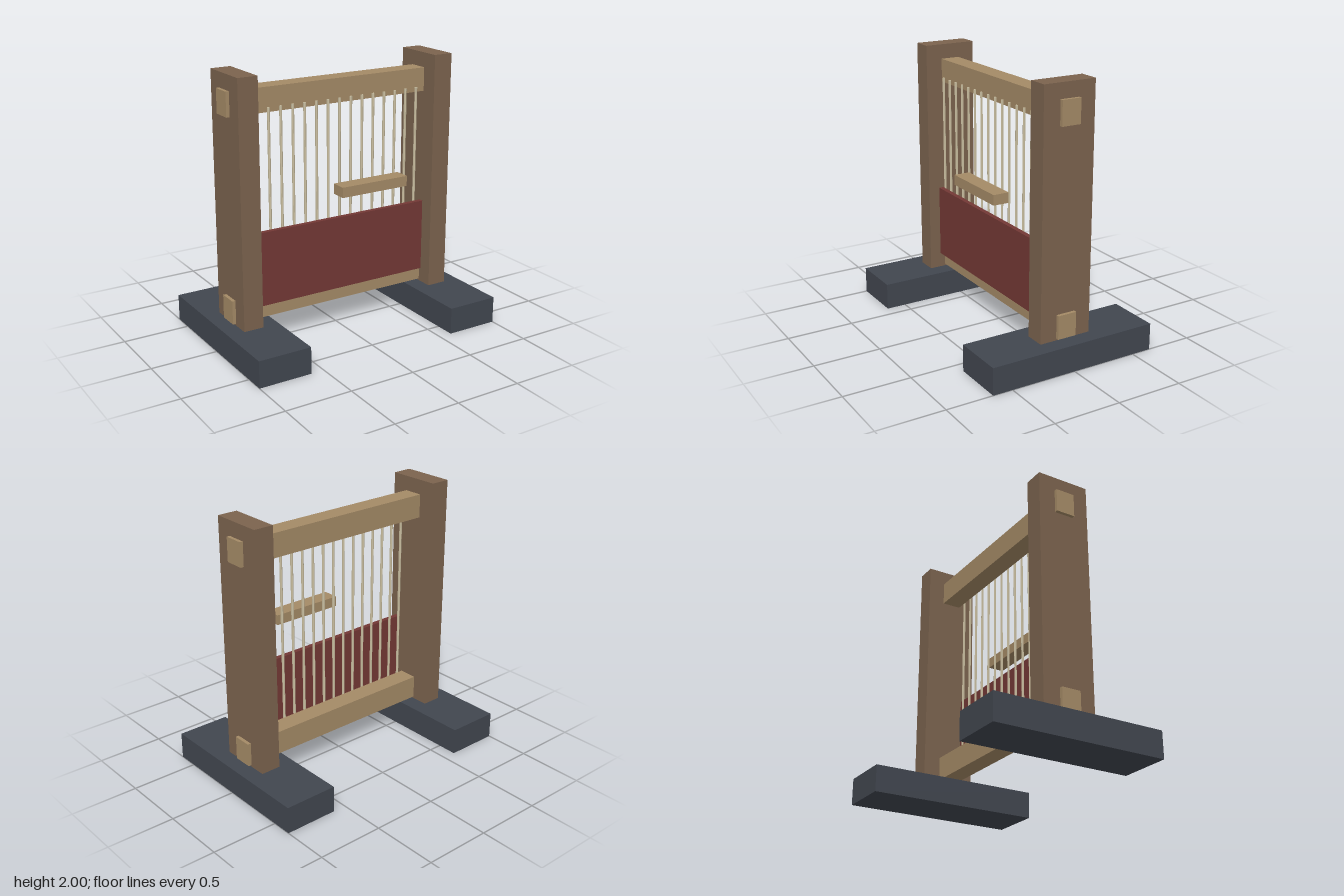
import * as THREE from 'three';

export function createModel() {
  const model = new THREE.Group();
  model.name = 'weavingLoom';

  const material = (name, color) => {
    const m = new THREE.MeshStandardMaterial({ color });
    m.name = name;
    return m;
  };
  const darkWood = material('dark wood', 0x7b634e);
  const lightWood = material('light wood', 0xa48a66);
  const slate = material('slate', 0x41464f);
  const redCloth = material('red cloth', 0x733835);
  const cream = material('cream thread', 0xc8bd9f);

  const box = (name, mat, w, h, d, x, y, z) => {
    const mesh = new THREE.Mesh(new THREE.BoxGeometry(w, h, d), mat);
    mesh.name = name;
    mesh.position.set(x, y, z);
    model.add(mesh);
  };

  // Feet, and the posts standing in them
  for (const [side, s] of [['left', 1], ['right', -1]]) {
    box(side + 'Foot', slate, 0.4, 0.2, 1.3, s * 0.8, 0.1, 0);
    box(side + 'Post', darkWood, 0.15, 1.995, 0.4, s * 0.8, 1.0025, 0);
  }

  // Beams whose ends pass through the posts
  box('upperBeam', lightWood, 1.8, 0.176, 0.145, 0, 1.802, 0);
  box('lowerBeam', lightWood, 1.8, 0.176, 0.145, 0, 0.302, 0);

  // Warp threads, evenly spaced across the front of the beams
  const threads = new THREE.Group();
  threads.name = 'warpThreads';
  const threadMaterial = cream.clone();
  threadMaterial.flatShading = true;
  const threadGeometry = new THREE.CylinderGeometry(0.01, 0.01, 1.4, 6);
  for (let i = 0; i < 15; i++) {
    const thread = new THREE.Mesh(threadGeometry, threadMaterial);
    thread.name = 'warpThread';
    thread.position.set(-0.682 + i * 0.095, 1.05, 0.08);
    threads.add(thread);
  }
  model.add(threads);

  // Woven cloth and the shuttle in front of the threads
  box('wovenCloth', redCloth, 1.4, 0.55, 0.036, 0, 0.6, 0.107);
  box('shuttle', lightWood, 0.55, 0.076, 0.12, 0.148, 1.122, 0.24);

  return model;
}
